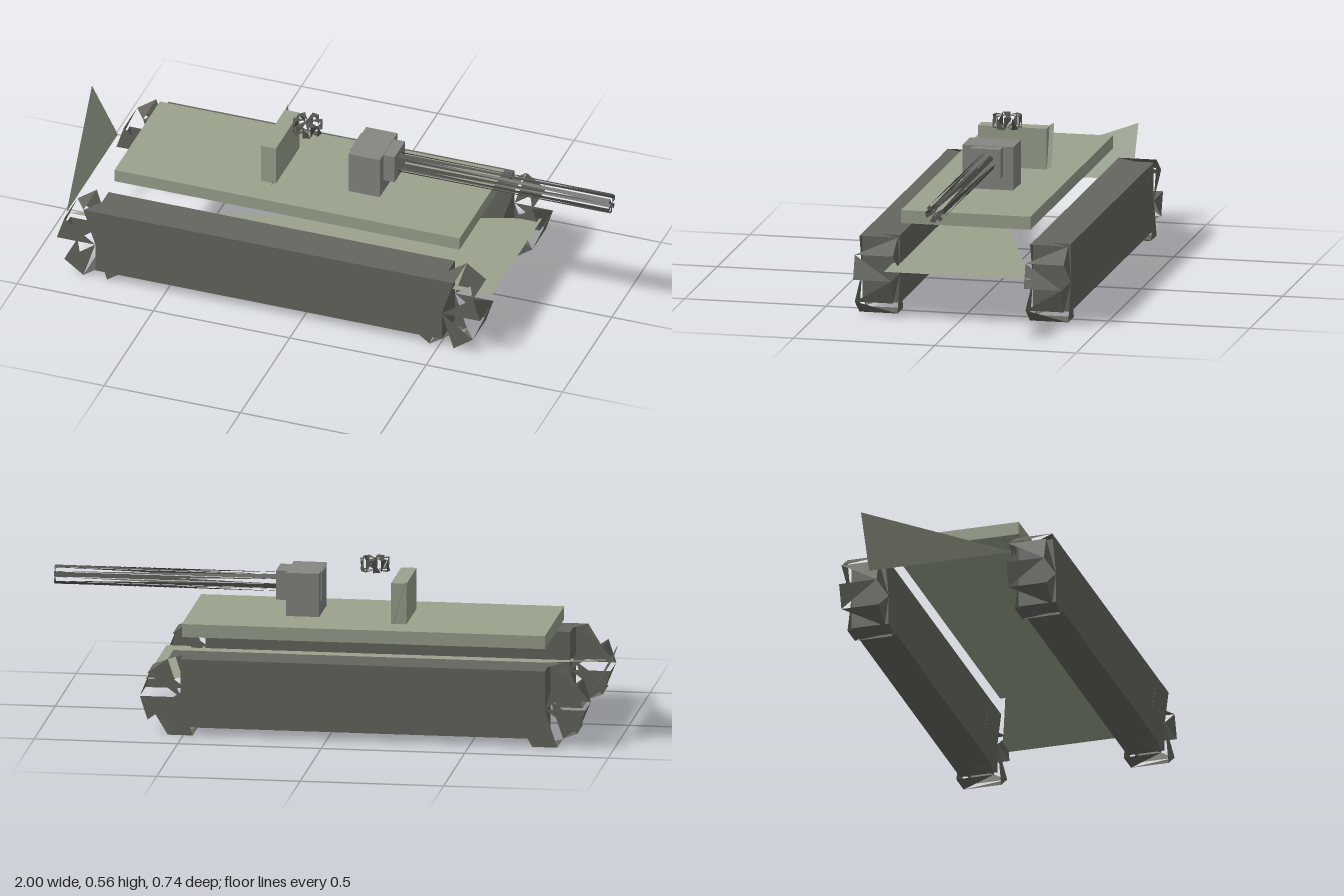
import * as THREE from 'three';

const material = (color) => new THREE.MeshStandardMaterial({ color, flatShading: true, side: THREE.DoubleSide });

export function createModel() {
  const group = new THREE.Group();
  const hullMat = material(0x9aa38e), trackMat = material(0x66665f);
  const gunMat = material(0x868682), darkMat = material(0x555652);

  const add = (name, geometry, mat) => {
    const mesh = new THREE.Mesh(geometry, mat);
    mesh.name = name;
    group.add(mesh);
    return mesh;
  };

  // Box given by its lower and upper limits on each axis
  const box = (name, mat, [x0, x1], [y0, y1], [z0, z1]) =>
    add(name, new THREE.BoxGeometry(x1 - x0, y1 - y0, z1 - z0), mat)
      .position.set((x0 + x1) / 2, (y0 + y1) / 2, (z0 + z1) / 2);

  const surface = (points) => {
    const geometry = new THREE.BufferGeometry();
    geometry.setAttribute('position', new THREE.Float32BufferAttribute(points.flat(), 3));
    geometry.computeVertexNormals();
    return geometry;
  };

  // Jagged drum along z: each side is one triangle, its base alternating between
  // the two ends, with a cap wedge at the end that carries the base
  const jaggedDrum = (radius, length, sides) => {
    const points = [];
    const rim = (i, z) => {
      const a = (i / sides) * Math.PI * 2;
      return [radius * Math.cos(a), radius * Math.sin(a), z];
    };
    for (let i = 0; i < sides; i++) {
      const z = (i % 2 ? -1 : 1) * length / 2;
      const a = rim(i, z), b = rim(i + 1, z);
      const side = [a, b, rim(i, -z)], cap = [[0, 0, z], a, b];
      if (z > 0) points.push(...side.reverse(), ...cap);
      else points.push(...side, ...cap.reverse());
    }
    return surface(points);
  };

  // Tracks with a jagged wheel at each end
  for (const [side, s] of [['left', 1], ['right', -1]]) {
    const zs = [s * 0.302 - 0.067, s * 0.302 + 0.067];
    box(side + 'Track', trackMat, [-0.76, 0.51], [0.03, 0.27], zs);
    for (const x of [-0.76, 0.51]) {
      const wheel = add(side + 'Wheel', jaggedDrum(0.141, 0.135, 10), trackMat);
      wheel.position.set(x, 0.136, s * 0.302);
    }
  }

  // Triangular belly and tail plates, repeated at turret scale
  const plates = (name, front, rear, tip, floor, top, half) => {
    add(name + 'Floor', surface([
      [front, floor, -half], [rear, floor, half], [front, floor, half],
    ]), hullMat);
    add(name + 'Tail', surface([
      [tip, top, -half], [rear, floor, half], [rear, floor, -half],
    ]), hullMat);
  };
  plates('hull', 0.65, -0.905, -1, 0.17, 0.35, 0.26);
  plates('turret', 0.1, -0.198, -0.24, 0.363, 0.517, 0.137);

  // Deck and upright turret plate
  box('deck', hullMat, [-0.74, 0.525], [0.316, 0.362], [-0.229, 0.229]);
  box('turretPlate', hullMat, [-0.242, -0.188], [0.362, 0.506], [-0.121, 0.121]);

  // Gun mount, collar and barrel
  box('gunMount', gunMat, [0.067, 0.182], [0.37, 0.523], [-0.09, 0.09]);
  box('gunCollar', gunMat, [0.062, 0.223], [0.418, 0.521], [-0.053, 0.053]);
  const barrel = add('barrel', jaggedDrum(0.034, 0.78, 12), darkMat);
  barrel.rotation.y = Math.PI / 2;
  barrel.position.set(0.61, 0.47, 0);

  // Hatch
  const hatch = add('hatch', jaggedDrum(0.052, 0.043, 12), darkMat);
  hatch.rotation.x = -Math.PI / 2;
  hatch.position.set(-0.115, 0.544, 0);

  return group;
}
